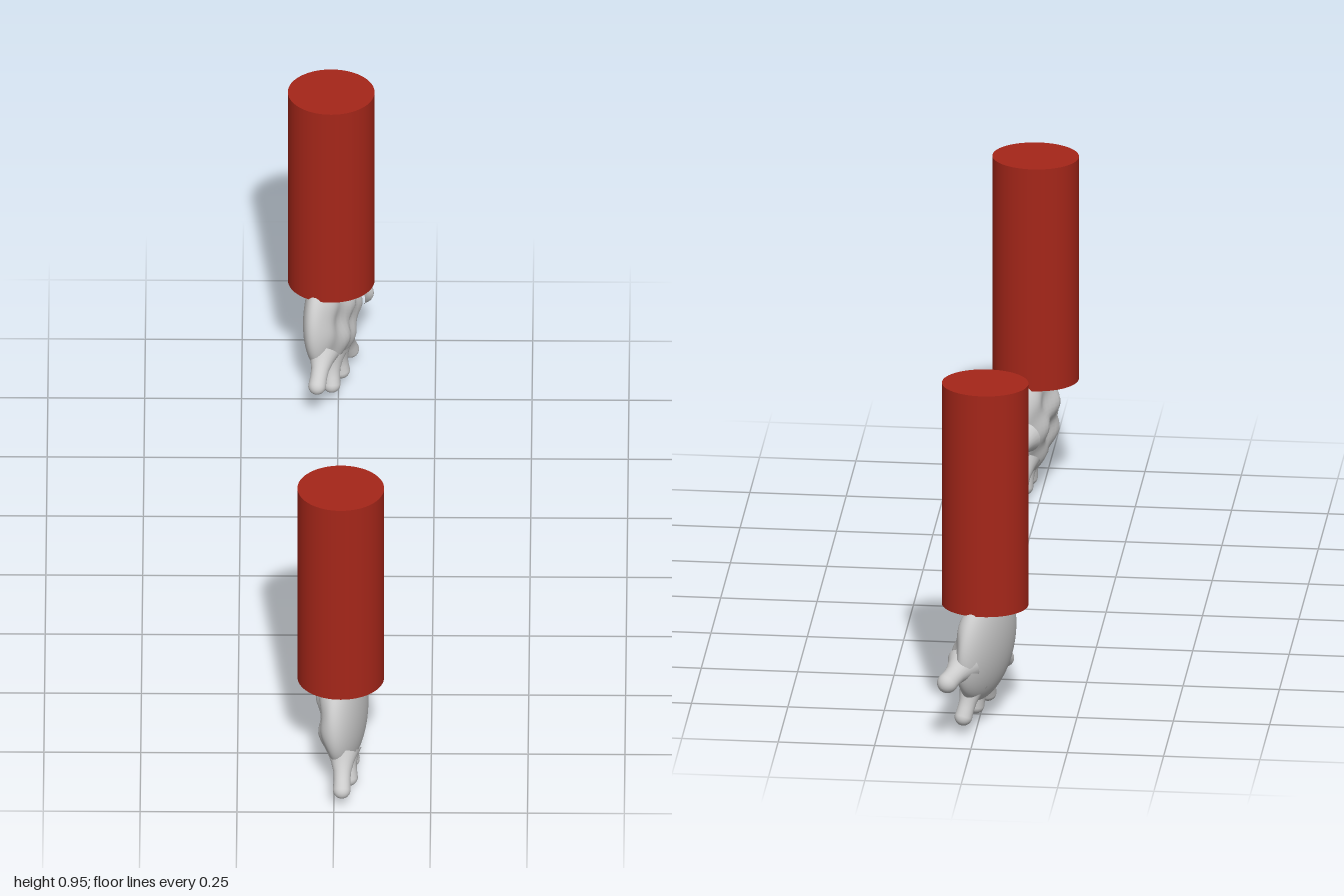
import * as THREE from 'three';
import { mergeVertices } from 'three/addons/utils/BufferGeometryUtils.js';

const skin = new THREE.MeshStandardMaterial({ color: 0xcccccc });
const cloth = new THREE.MeshStandardMaterial({ color: 0xa52619 });

// Palm: a flattened ball, domed on the back of the hand, creased on the inside
function palmGeometry(dorsal, yaw) {
  const g = new THREE.SphereGeometry(1, 64, 48);
  const p = g.attributes.position;
  for (let i = 0; i < p.count; i++) {
    const x = p.getX(i), y = p.getY(i), z = p.getZ(i);
    const inner = Math.max(0, -x * dorsal);
    const crease = 1 + 0.13 * inner * (Math.sin(9 * z + 4 * y) + Math.sin(8 * y - 5 * z));
    const pz = z * (0.132 - 0.012 * y);
    const px = x * 0.056 * crease + yaw * pz - 0.01 * y;
    p.setXYZ(i, px, y * 0.16, pz);
  }
  g.deleteAttribute('uv');
  g.deleteAttribute('normal');
  const merged = mergeVertices(g, 1e-5);
  merged.computeVertexNormals();
  return merged;
}

// Finger: flared root running into a rounded tip
function finger(base, tip, radius) {
  const dir = tip.clone().sub(base);
  const len = dir.length();
  const pts = [[radius * 1.75, 0], [radius * 1.3, len * 0.2], [radius, len * 0.42], [radius * 0.95, len * 0.6]]
    .map(([r, y]) => new THREE.Vector2(r, y));
  for (let i = 0; i <= 8; i++) {
    const a = (i / 8) * Math.PI / 2;
    pts.push(new THREE.Vector2(radius * Math.cos(a), len - radius * (1 - Math.sin(a))));
  }
  const mesh = new THREE.Mesh(new THREE.LatheGeometry(pts, 24), skin);
  mesh.position.copy(base);
  mesh.quaternion.setFromUnitVectors(new THREE.Vector3(0, 1, 0), dir.normalize());
  return mesh;
}

function arm({ name, sleeve, bottom, top, center, dorsal, yaw, tips }) {
  const group = new THREE.Group();
  group.name = name;

  // Oval sleeve
  const tube = new THREE.Mesh(new THREE.CylinderGeometry(1, 1, top - bottom, 64), cloth);
  tube.name = 'sleeve';
  tube.scale.set(0.112, 1, 0.096);
  tube.position.set(sleeve[0], (top + bottom) / 2, sleeve[1]);
  group.add(tube);

  // Hand with spread fingers
  const hand = new THREE.Group();
  hand.name = 'hand';
  const palm = new THREE.Mesh(palmGeometry(dorsal, yaw), skin);
  palm.name = 'palm';
  palm.position.set(...center);
  hand.add(palm);
  const c = new THREE.Vector3(...center);
  const names = ['littleFinger', 'ringFinger', 'middleFinger', 'indexFinger', 'thumb'];
  tips.forEach((t, i) => {
    const tip = new THREE.Vector3(...t);
    const f = finger(c.clone().lerp(tip, 0.5), tip, i === 4 ? 0.027 : 0.023);
    f.name = names[i];
    hand.add(f);
  });
  group.add(hand);
  return group;
}

export function createModel() {
  const model = new THREE.Group();
  model.name = 'pairOfArms';
  model.add(arm({
    name: 'frontArm', sleeve: [0.017, 0.835], bottom: 0.315, top: 0.93,
    center: [0.025, 0.215, 0.828], dorsal: 1, yaw: -0.2,
    tips: [[0.02, 0.045, 0.998], [0.04, 0.002, 0.885], [0.045, 0.003, 0.8], [0.05, 0.03, 0.69], [0.055, 0.17, 0.622]],
  }));
  model.add(arm({
    name: 'backArm', sleeve: [-0.019, -0.82], bottom: 0.335, top: 0.947,
    center: [-0.02, 0.235, -0.82], dorsal: -1, yaw: -0.33,
    tips: [[-0.058, 0.108, -0.632], [-0.017, 0.038, -0.73], [0.01, 0.028, -0.81], [0.035, 0.03, -0.908], [0.075, 0.165, -1]],
  }));
  return model;
}
